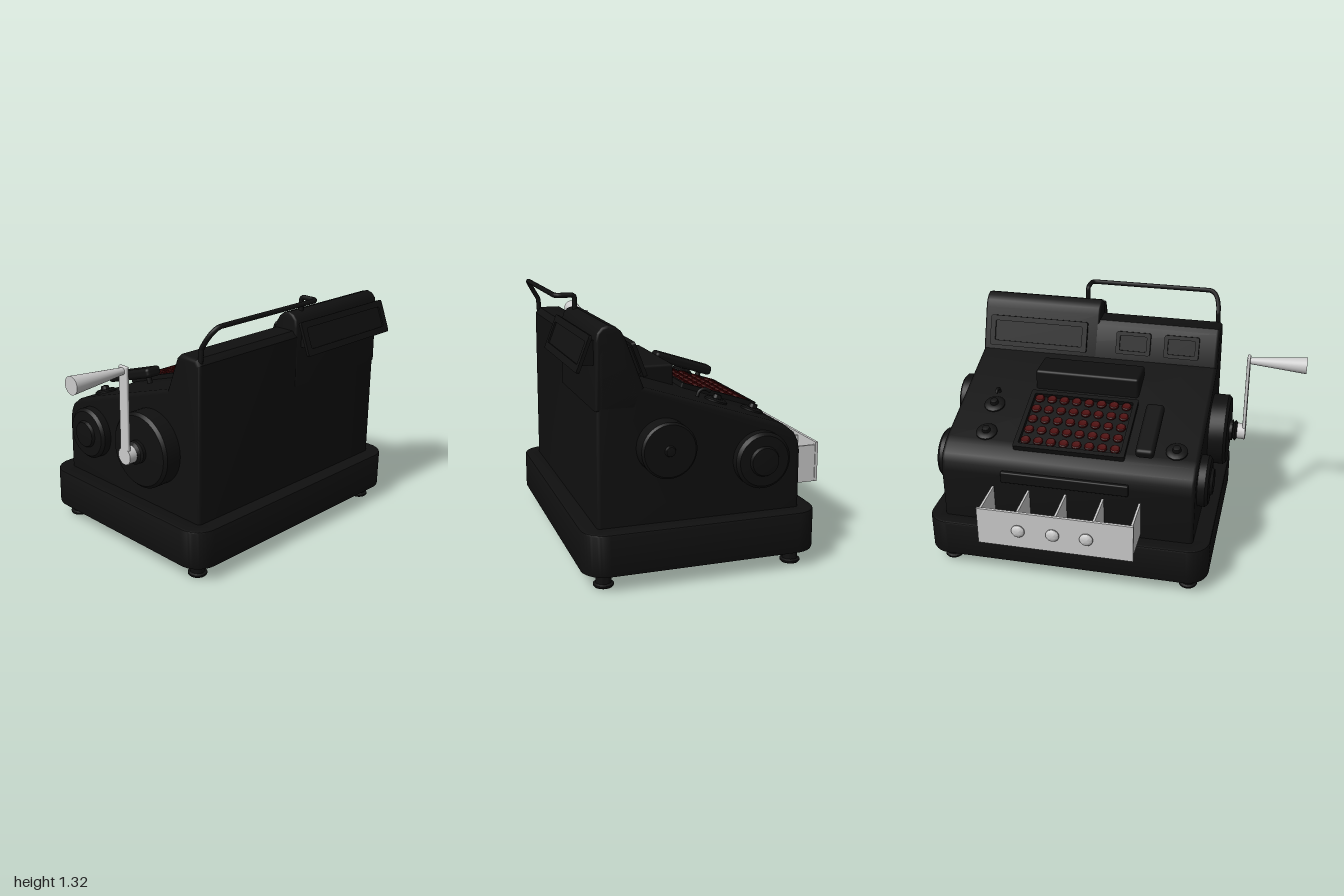
import * as THREE from 'three';
import { toCreasedNormals } from 'three/addons/utils/BufferGeometryUtils.js';
import { RoundedBoxGeometry } from 'three/addons/geometries/RoundedBoxGeometry.js';

const dark = new THREE.MeshStandardMaterial({ color: 0x101010 });
const shell = new THREE.MeshStandardMaterial({ color: 0x101010, side: THREE.DoubleSide });
const grey = new THREE.MeshStandardMaterial({ color: 0xcccccc });
const red = new THREE.MeshStandardMaterial({ color: 0x4a0808 });

function add(parent, name, geometry, material, x = 0, y = 0, z = 0) {
  const mesh = new THREE.Mesh(geometry, material);
  mesh.name = name;
  mesh.position.set(x, y, z);
  parent.add(mesh);
  return mesh;
}

const box = (w, h, d) => new THREE.BoxGeometry(w, h, d);
const rounded = (w, h, d, r) => new RoundedBoxGeometry(w, h, d, 3, r);
const cyl = (top, bottom, h, n = 32) => new THREE.CylinderGeometry(top, bottom, h, n);
const lathe = (pts, n = 32) =>
  toCreasedNormals(new THREE.LatheGeometry(pts.map(p => new THREE.Vector2(...p)), n), 0.6);

// Side profile given as [z, y] points, extruded between two x positions
function sideExtrude(pts, x0, x1, bevel) {
  const shape = new THREE.Shape(pts.map(p => new THREE.Vector2(...p)));
  const g = new THREE.ExtrudeGeometry(shape, {
    depth: x1 - x0 - 2 * bevel, bevelEnabled: bevel > 0, bevelThickness: bevel,
    bevelSize: bevel, bevelOffset: -bevel, bevelSegments: 3,
  });
  return g.rotateY(-Math.PI / 2).translate(x1 - bevel, 0, 0);
}

// Drop the faces that lie wholly under a given height
function openBelow(g, limit) {
  const p = g.attributes.position, out = [];
  for (let i = 0; i < p.count; i += 3) {
    if (Math.max(p.getY(i), p.getY(i + 1), p.getY(i + 2)) < limit) continue;
    for (let j = i; j < i + 3; j++) out.push(p.getX(j), p.getY(j), p.getZ(j));
  }
  const open = new THREE.BufferGeometry();
  open.setAttribute('position', new THREE.Float32BufferAttribute(out, 3));
  return open;
}

function roundRect(Type, x0, x1, y0, y1, r) {
  const s = new Type();
  s.absarc(x1 - r, y1 - r, r, 0, Math.PI / 2);
  s.absarc(x0 + r, y1 - r, r, Math.PI / 2, Math.PI);
  s.absarc(x0 + r, y0 + r, r, Math.PI, 1.5 * Math.PI);
  s.absarc(x1 - r, y0 + r, r, 1.5 * Math.PI, 2 * Math.PI);
  s.closePath();
  return s;
}

// Flat panel in the xy plane with a raised frame, facing +z
function framedPanel(parent, name, w, h, border, depth) {
  const group = new THREE.Group();
  group.name = name;
  const frame = roundRect(THREE.Shape, -w / 2, w / 2, -h / 2, h / 2, 0.012);
  frame.holes.push(roundRect(THREE.Path, -w / 2 + border, w / 2 - border,
    -h / 2 + border, h / 2 - border, 0.008));
  add(group, 'frame', new THREE.ExtrudeGeometry(frame, { depth, bevelEnabled: false }), dark);
  add(group, 'window', box(w - border, h - border, depth * 0.5), dark, 0, 0, depth * 0.25);
  parent.add(group);
  return group;
}

export function createModel() {
  const model = new THREE.Group();
  model.name = 'cashRegister';

  // Base ring, open underneath
  const ring = roundRect(THREE.Shape, -0.59, 0.98, -0.5, 0.69, 0.12);
  ring.holes.push(roundRect(THREE.Path, -0.48, 0.87, -0.4, 0.59, 0.03));
  const ringGeo = new THREE.ExtrudeGeometry(ring, {
    depth: 0.19, bevelThickness: 0.01, bevelSize: 0.01, bevelOffset: -0.01, bevelSegments: 2, curveSegments: 10,
  }).rotateX(Math.PI / 2).translate(0, 0.28, 0);
  add(model, 'base', toCreasedNormals(ringGeo, 0.6), dark);

  // Feet
  const foot = lathe([[0, 0], [0.045, 0], [0.05, 0.006], [0.05, 0.014], [0.038, 0.02], [0.038, 0.1], [0, 0.1]], 24);
  for (const x of [-0.48, 0.87]) for (const z of [-0.39, 0.58]) add(model, 'foot', foot, dark, x, 0, z);

  // Housing, with a taller block on the left
  const lower = [[-0.42, 0.25], [0.61, 0.25], [0.605, 1.12], [0.58, 1.15], [0.47, 1.15], [0.447, 1.13],
    [0.38, 0.95], [-0.3, 0.728], [-0.34, 0.71], [-0.39, 0.67], [-0.41, 0.63], [-0.42, 0.58]];
  add(model, 'housing', toCreasedNormals(openBelow(sideExtrude(lower, -0.5, 0.89, 0.02), 0.28), 0.6), shell);
  const tall = [[0.61, 0.85], [0.605, 1.17], [0.597, 1.21], [0.575, 1.235], [0.545, 1.245], [0.51, 1.235],
    [0.485, 1.215], [0.465, 1.18], [0.38, 0.95], [0.42, 0.85]];
  add(model, 'tallBlock', toCreasedNormals(sideExtrude(tall, 0.2, 0.89, 0.012), 0.6), dark);

  // Customer display: wedge and tilted frame
  add(model, 'customerDisplayWedge',
    sideExtrude([[0.58, 1.06], [0.665, 1.06], [0.625, 1.17], [0.58, 1.18]], 0.24, 0.85, 0), dark);
  const customer = framedPanel(model, 'customerDisplay', 0.69, 0.18, 0.035, 0.016);
  customer.position.set(0.545, 1.115, 0.65);
  customer.rotation.x = -0.37;

  // Operator display and two small windows on the inclined face
  const windows = [[0.55, 1.065, 0.58, 0.175, 0.03, 0.395], [-0.01, 1.045, 0.2, 0.13, 0.022, 0.41],
    [-0.29, 1.045, 0.2, 0.13, 0.022, 0.41]];
  for (const [x, y, w, h, border, z] of windows) {
    const panel = framedPanel(model, 'operatorWindow', w, h, border, 0.02);
    panel.position.set(x, y, z);
    panel.rotation.set(0.36, Math.PI, 0);
    add(panel, 'backing', box(w - 0.06, h - 0.04, 0.05), dark, 0, 0, -0.02);
  }

  // Carrying rail along the top
  const rail = new THREE.CurvePath();
  const v = (x, y, z) => new THREE.Vector3(x, y, z);
  rail.add(new THREE.LineCurve3(v(-0.475, 1.1, 0.585), v(-0.47, 1.2, 0.59)));
  rail.add(new THREE.QuadraticBezierCurve3(v(-0.47, 1.2, 0.59), v(-0.465, 1.31, 0.655), v(-0.4, 1.31, 0.655)));
  rail.add(new THREE.LineCurve3(v(-0.4, 1.31, 0.655), v(0.26, 1.31, 0.655)));
  rail.add(new THREE.QuadraticBezierCurve3(v(0.26, 1.31, 0.655), v(0.29, 1.31, 0.655), v(0.29, 1.31, 0.625)));
  rail.add(new THREE.LineCurve3(v(0.29, 1.31, 0.625), v(0.29, 1.31, 0.575)));
  rail.add(new THREE.QuadraticBezierCurve3(v(0.29, 1.31, 0.575), v(0.29, 1.31, 0.555), v(0.29, 1.29, 0.555)));
  rail.add(new THREE.LineCurve3(v(0.29, 1.29, 0.555), v(0.29, 1.22, 0.555)));
  add(model, 'rail', new THREE.TubeGeometry(rail, 120, 0.013, 10), dark);

  // Block above the keyboard
  add(model, 'printerBlock', rounded(0.59, 0.15, 0.19, 0.015), dark, 0.195, 0.895, 0.195);

  // Keyboard on the sloping deck; local y is the deck normal
  const deck = new THREE.Group();
  deck.name = 'keyboard';
  deck.position.set(0, 0.826, 0);
  deck.rotation.x = -0.315;
  model.add(deck);
  const along = z => z / Math.cos(0.315);
  const border = roundRect(THREE.Shape, -0.11, 0.5, along(-0.345), along(0.065), 0.01);
  border.holes.push(roundRect(THREE.Path, -0.085, 0.475, along(-0.32), along(0.04), 0.01));
  add(deck, 'keyboardFrame', new THREE.ExtrudeGeometry(border, { depth: 0.035, bevelEnabled: false })
    .rotateX(Math.PI / 2).translate(0, 0.025, 0), dark);
  const key = lathe([[0.012, -0.01], [0.012, 0.012], [0.027, 0.014], [0.027, 0.024], [0.022, 0.028], [0, 0.026]], 16);
  for (let row = 0; row < 5; row++) for (let col = 0; col < 8; col++)
    add(deck, 'key', key, red, -0.052 + col * 0.0705, 0, along(-0.29 + row * 0.075));

  // Long raised key bar on short stems
  add(deck, 'keyBar', rounded(0.1, 0.055, 0.36, 0.02), dark, -0.22, 0.06, along(-0.175));
  for (const z of [-0.29, -0.06]) add(deck, 'keyBarStem', cyl(0.015, 0.015, 0.06, 12), dark, -0.22, 0.02, along(z));

  // Locks and small lever
  const lock = lathe([[0.058, -0.01], [0.058, 0.008], [0.045, 0.016], [0.024, 0.016], [0.02, 0.035], [0, 0.038]]);
  for (const [x, z] of [[-0.375, -0.25], [0.675, -0.25], [0.69, -0.05]]) add(deck, 'lock', lock, dark, x, 0, along(z));
  const lever = new THREE.CatmullRomCurve3([v(0.69, -0.01, 0.05), v(0.69, 0.03, 0.045), v(0.69, 0.045, 0.02), v(0.69, 0.04, -0.01)]);
  add(deck, 'lever', new THREE.TubeGeometry(lever, 16, 0.009, 8), dark);

  // Side drums; each profile is [radius, distance out from the wall]
  function drum(name, profile, side, y, z) {
    const m = add(model, name, lathe(profile, 48), dark, side > 0 ? 0.885 : -0.495, y, z);
    m.rotation.z = -side * Math.PI / 2;
  }
  const dome = [[0.14, -0.02], [0.14, 0.045], [0.125, 0.06], [0.075, 0.063], [0.068, 0.078], [0, 0.085]];
  drum('leftRearDrum', [[0.135, -0.02], [0.135, 0.09], [0.125, 0.1], [0.027, 0.1], [0.022, 0.112], [0, 0.115]], 1, 0.665, 0.285);
  drum('leftDrum', dome, 1, 0.56, -0.205);
  drum('rightDrum', dome, -1, 0.56, -0.205);
  drum('crankDrum', [[0.2, -0.02], [0.2, 0.09], [0.185, 0.105], [0.06, 0.108], [0.06, 0.125],
    [0.045, 0.13], [0.06, 0.14], [0.045, 0.152], [0, 0.152]], -1, 0.62, 0.275);

  // Crank
  const crank = new THREE.Group();
  crank.name = 'crank';
  crank.position.set(0, 0.62, 0.275);
  model.add(crank);
  add(crank, 'crankHub', cyl(0.045, 0.045, 0.05), grey, -0.668, 0, 0).rotation.z = Math.PI / 2;
  add(crank, 'crankArm', rounded(0.018, 0.51, 0.06, 0.006), grey, -0.684, 0.215, 0);
  add(crank, 'crankGrip', cyl(0.046, 0.018, 0.31), grey, -0.845, 0.445, 0).rotation.z = Math.PI / 2;

  // Open cash drawer with dividers and knobs
  const drawer = new THREE.Group();
  drawer.name = 'drawer';
  model.add(drawer);
  add(drawer, 'drawerFloor', box(0.81, 0.01, 0.26), grey, 0.195, 0.318, -0.53);
  for (const x of [-0.21, -0.01, 0.195, 0.4, 0.6])
    add(drawer, 'drawerDivider', box(0.012, 0.2, 0.26), grey, x, 0.41, -0.53);
  add(drawer, 'drawerFront', box(0.835, 0.215, 0.015), grey, 0.193, 0.418, -0.657);
  const knob = lathe([[0.02, 0], [0.02, 0.008], [0.036, 0.012], [0.036, 0.018], [0.03, 0.026], [0.016, 0.031], [0, 0.033]]);
  for (const x of [0.02, 0.2, 0.385]) add(drawer, 'drawerKnob', knob, grey, x, 0.42, -0.66).rotation.x = -Math.PI / 2;
  add(model, 'drawerLedge', rounded(0.7, 0.065, 0.03, 0.008), dark, 0.2, 0.58, -0.42);

  return model;
}
